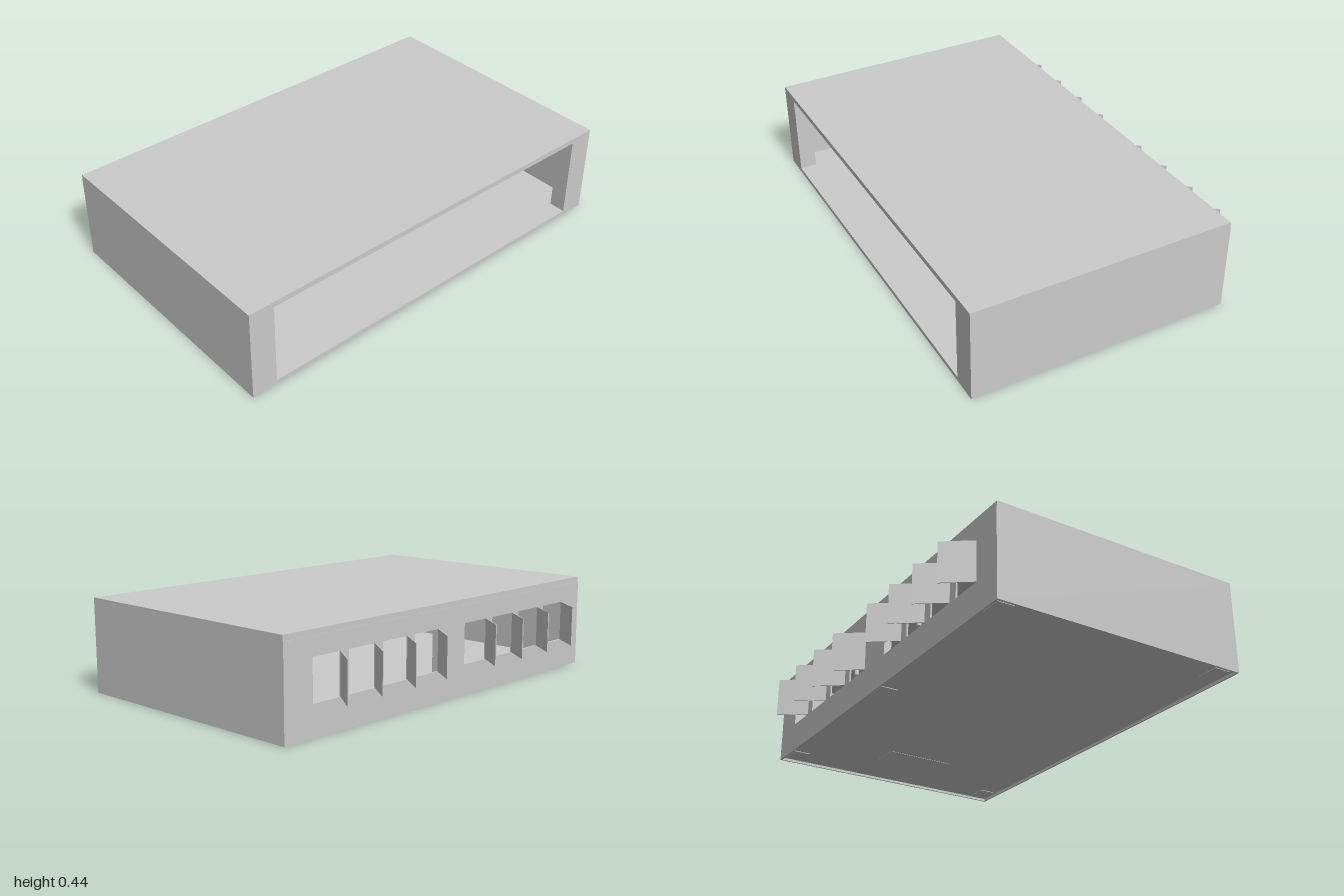
import * as THREE from 'three';

const W = 2, H = 0.435, FRONT = 0.675, BACK = -0.55, T = 0.008;
const WIN_W = 0.155, WIN_LOW = 0.14, WIN_TOP = 0.327;

export function createModel() {
  const model = new THREE.Group();
  model.name = 'ventedCabinet';
  const mat = new THREE.MeshStandardMaterial({ color: 0xcccccc, flatShading: true });

  const add = (name, geometry, parent = model) => {
    const mesh = new THREE.Mesh(geometry, mat);
    mesh.name = name;
    parent.add(mesh);
    return mesh;
  };

  // Box given by its limits on each axis
  const box = (name, x0, x1, y0, y1, z0, z1, parent) => {
    const mesh = add(name, new THREE.BoxGeometry(x1 - x0, y1 - y0, z1 - z0), parent);
    mesh.position.set((x0 + x1) / 2, (y0 + y1) / 2, (z0 + z1) / 2);
    return mesh;
  };

  const rect = (path, [x0, x1, y0, y1]) => {
    path.moveTo(x0, y0);
    path.lineTo(x1, y0);
    path.lineTo(x1, y1);
    path.lineTo(x0, y1);
    path.closePath();
    return path;
  };

  // Upright sheet with rectangular cut-outs
  const panel = (name, outline, holes, z, depth) => {
    const shape = rect(new THREE.Shape(), outline);
    holes.forEach((h) => shape.holes.push(rect(new THREE.Path(), h)));
    const mesh = add(name, new THREE.ExtrudeGeometry(shape, { depth, bevelEnabled: false }));
    mesh.position.z = z;
    return mesh;
  };

  // Outer shell
  box('topCover', -1, 1, H - T, H, BACK + 0.003, FRONT);
  box('topCoverRearLip', -1, 1, 0.41, H - T, BACK + 0.003, BACK + 0.003 + T);
  box('floor', -1 + T, 1 - T, 0.012, 0.02, BACK + T, FRONT - T);
  for (const s of [-1, 1]) {
    const wall = box('sideWall', -T / 2, T / 2, 0, H - T, BACK + T, FRONT - T);
    wall.position.x = s * (W / 2 - T / 2);
  }

  // Front rim with its folded side returns
  panel('frontRim', [-1, 1, 0, H - T], [[-0.88, 0.88, 0.02, 0.41]], FRONT - T, T);
  for (const s of [-1, 1]) {
    const fold = box('frontRimReturn', -T / 2, T / 2, 0.02, 0.41, FRONT - 0.08, FRONT - T);
    fold.position.x = s * (0.88 + T / 2);
  }

  // Back wall with two banks of four windows
  const windowStarts = [];
  for (const start of [-0.855, 0.087]) {
    for (let i = 0; i < 4; i++) windowStarts.push(start + i * 0.2015);
  }
  panel('backWall', [-1, 1, 0, 0.41],
    windowStarts.map((x) => [x, x + WIN_W, WIN_LOW, WIN_TOP]), BACK, T);

  // Flaps hinged open on one upright edge of each window
  for (const x of windowStarts) {
    const hinge = new THREE.Group();
    hinge.name = 'ventFlap';
    hinge.position.set(x, 0, BACK);
    hinge.rotation.y = Math.atan2(0.125, 0.09);
    model.add(hinge);
    box('flapPlate', 0, 0.154, WIN_LOW, WIN_TOP, -0.002, 0.002, hinge);
  }

  // Shallow frames inside, one round each bank of windows
  for (const x of [-0.88, 0.065]) {
    const x1 = x + 0.81;
    panel('windowFrame', [x, x1, 0.118, 0.343],
      [[x + 0.01, x1 - 0.01, 0.128, 0.333]], BACK + T, 0.035);
  }

  // Strip between the frames
  box('centreStrip', -0.05, 0.05, 0.02, 0.41, BACK + T, BACK + 0.035);

  // Studs hanging from the cover
  for (const x of [-0.635, 0, 0.635]) {
    const stud = add('ceilingStud', new THREE.CylinderGeometry(0.012, 0.012, 0.044, 16));
    stud.position.set(x, 0.405, -0.325);
  }

  // Closed housing on the floor
  box('floorHousing', 0.62, 0.76, 0.0105, 0.13, -0.12, 0.21);

  // Thin pads under the floor: four corners and the middle of the back
  for (const [x, z] of [[-0.92, 0.61], [0.92, 0.61], [-0.92, -0.49], [0.92, -0.49], [0, -0.49]]) {
    box('underPad', x - 0.05, x + 0.05, 0.009, 0.012, z - 0.04, z + 0.04);
  }

  return model;
}
